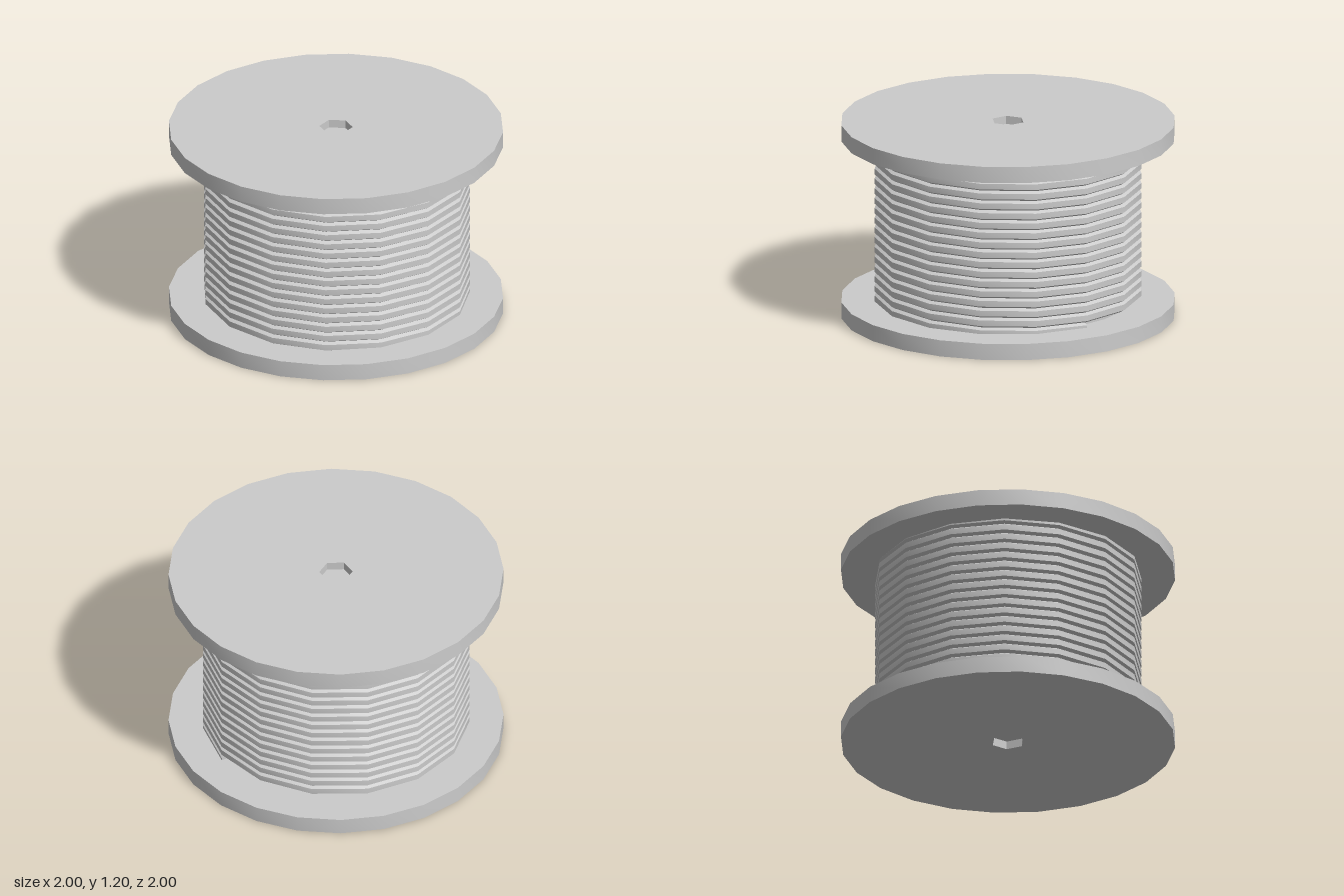
import * as THREE from 'three';
import { toCreasedNormals } from 'three/addons/utils/BufferGeometryUtils.js';

const CREASE = 0.6;

function polygon(path, radius, sides, start = 0) {
  const pts = [];
  for (let i = 0; i < sides; i++) {
    const a = start + (i / sides) * Math.PI * 2;
    pts.push(new THREE.Vector2(radius * Math.cos(a), radius * Math.sin(a)));
  }
  return path.setFromPoints(pts);
}

// 24-sided disc with a hexagonal axle hole, lying flat
function flangeGeometry(thickness) {
  const shape = polygon(new THREE.Shape(), 1, 24);
  shape.holes.push(polygon(new THREE.Path(), 0.1, 6, Math.PI / 2));
  const geo = new THREE.ExtrudeGeometry(shape, { depth: thickness, bevelEnabled: false });
  geo.rotateX(-Math.PI / 2);
  return toCreasedNormals(geo, CREASE);
}

// Six-sided wire wound downward around the core, 15 segments per turn
function windingGeometry({ turns, perTurn, topY, pitch, radius, wire }) {
  const sides = 6, rings = turns * perTurn;
  const pos = [], index = [];
  for (let i = 0; i <= rings; i++) {
    const a = (i / perTurn) * Math.PI * 2;
    const y = topY - (i / perTurn) * pitch;
    for (let j = 0; j < sides; j++) {
      const p = ((j + 0.5) / sides) * Math.PI * 2;
      const r = radius + wire * Math.cos(p);
      pos.push(r * Math.cos(a), y + wire * Math.sin(p), -r * Math.sin(a));
      if (i === rings) continue;
      const k = (j + 1) % sides, q = i * sides;
      index.push(q + j, q + sides + j, q + k);
      index.push(q + k, q + sides + j, q + sides + k);
    }
  }
  // End caps
  const last = rings * sides;
  for (let j = 1; j < sides - 1; j++) {
    index.push(0, j, j + 1, last, last + j + 1, last + j);
  }
  const geo = new THREE.BufferGeometry();
  geo.setAttribute('position', new THREE.Float32BufferAttribute(pos, 3));
  geo.setIndex(index);
  return toCreasedNormals(geo, CREASE);
}

export function createModel() {
  const group = new THREE.Group();
  group.name = 'spool';
  const material = new THREE.MeshStandardMaterial({ color: 0xcccccc });
  const add = (name, geometry, y = 0) => {
    const mesh = new THREE.Mesh(geometry, material);
    mesh.name = name;
    mesh.position.y = y;
    group.add(mesh);
  };

  // End discs
  const flange = flangeGeometry(0.1);
  add('bottomFlange', flange, 0);
  add('topFlange', flange, 1.1);

  // Solid core, which also closes the axle holes at half depth
  add('core', toCreasedNormals(new THREE.CylinderGeometry(0.74, 0.74, 1.1, 24), CREASE), 0.6);

  // Wound wire
  add('wireWinding', windingGeometry({
    turns: 17, perTurn: 15, topY: 1.13, pitch: 0.0607, radius: 0.77, wire: 0.035,
  }));

  return group;
}
